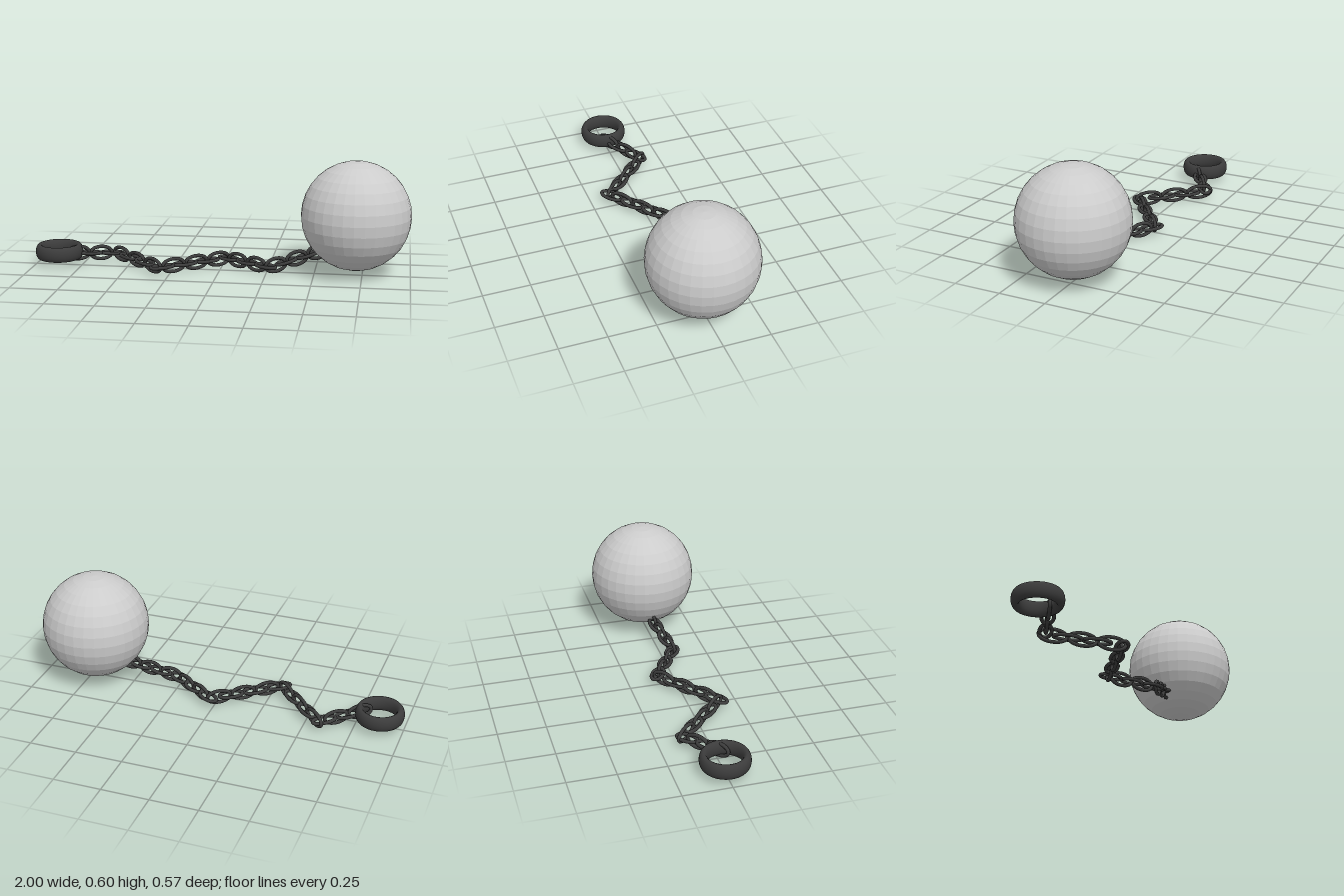
import * as THREE from 'three';

const iron = new THREE.MeshStandardMaterial({ color: 0x3c3c3c });
const ballMaterial = new THREE.MeshStandardMaterial({ color: 0xcccccc, flatShading: true });

// Zigzag line the chain follows, ordered along x
const path = [
  [-0.82, 0.077, 0.035], [-0.58, 0.046, -0.13], [-0.3, 0.046, 0.15],
  [0.02, 0.046, -0.1], [0.27, 0.046, 0.06], [0.56, 0.135, -0.01],
].map((p) => new THREE.Vector3(...p));

// Point on the line at x, and the direction of its segment
function samplePath(x) {
  let i = 0;
  while (i < path.length - 2 && x > path[i + 1].x) i++;
  const a = path[i], b = path[i + 1];
  return {
    point: a.clone().lerp(b, (x - a.x) / (b.x - a.x)),
    dir: b.clone().sub(a).normalize(),
  };
}

// Oval link lying along local x, its width along local y
function linkGeometry(halfLength, halfWidth, wire) {
  const points = [];
  for (let i = 0; i < 20; i++) {
    const a = (i / 20) * Math.PI * 2;
    points.push(new THREE.Vector3(Math.cos(a) * halfLength, Math.sin(a) * halfWidth, 0));
  }
  return new THREE.TubeGeometry(new THREE.CatmullRomCurve3(points, true), 32, wire, 8, true);
}

export function createModel() {
  const model = new THREE.Group();

  // Heavy ball
  const ball = new THREE.Mesh(new THREE.SphereGeometry(0.286, 32, 16), ballMaterial);
  ball.name = 'ball';
  ball.position.set(0.713, 0.32, 0);
  model.add(ball);

  // Shackle: a ring with a tall oval section
  const shackle = new THREE.Mesh(new THREE.TorusGeometry(0.105, 0.022, 16, 48), iron);
  shackle.name = 'shackle';
  shackle.rotation.x = Math.PI / 2;
  shackle.scale.z = 1.85;
  shackle.position.set(-0.872, 0.077, 0);
  model.add(shackle);

  // Chain: upright and flat links in turn, evenly spaced in x
  const chain = new THREE.Group();
  chain.name = 'chain';
  const step = 0.0535;
  for (let i = 0; i < 25; i++) {
    const { point, dir } = samplePath(-0.767 + i * step);
    const upright = i % 2 === 0;
    const link = new THREE.Mesh(linkGeometry(0.051 / dir.x, upright ? 0.034 : 0.03, 0.0095), iron);
    link.name = upright ? 'uprightLink' : 'flatLink';
    const side = dir.clone().cross(new THREE.Vector3(0, 1, 0)).normalize();
    const up = side.clone().cross(dir);
    const basis = new THREE.Matrix4();
    if (upright) basis.makeBasis(dir, up, side);
    else basis.makeBasis(dir, side.negate(), up);
    link.quaternion.setFromRotationMatrix(basis);
    link.position.copy(point);
    chain.add(link);
  }
  model.add(chain);
  return model;
}
